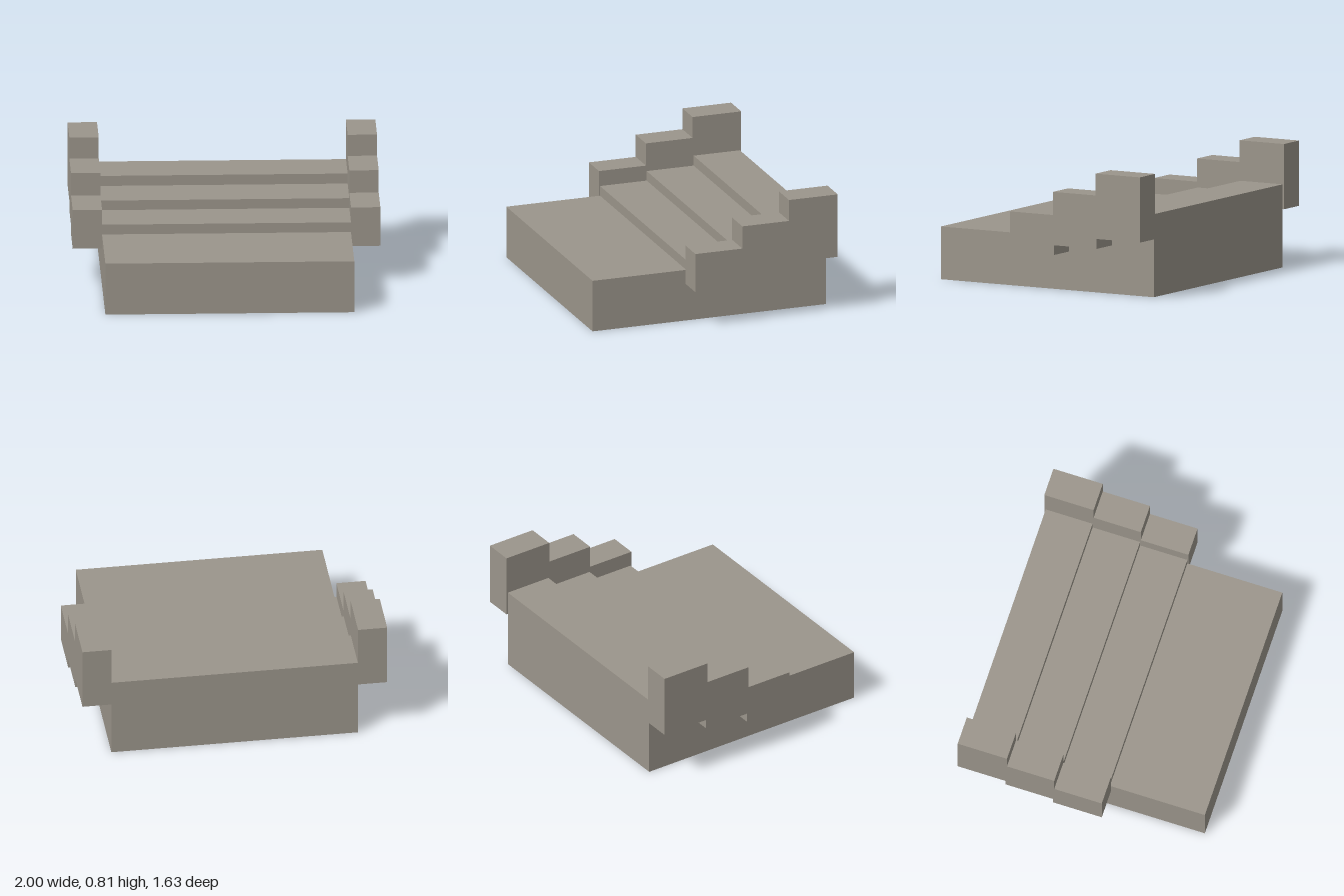
import * as THREE from 'three';

// Extrudes a [z, y] profile along x, centred on xCentre
function extrudeProfile(name, points, width, xCentre, material) {
  const shape = new THREE.Shape(points.map(([z, y]) => new THREE.Vector2(z, y)));
  const geometry = new THREE.ExtrudeGeometry(shape, { depth: width, bevelEnabled: false });
  geometry.translate(0, 0, -width / 2);
  geometry.rotateY(-Math.PI / 2);
  const mesh = new THREE.Mesh(geometry, material);
  mesh.name = name;
  mesh.position.x = xCentre;
  return mesh;
}

export function createModel() {
  const group = new THREE.Group();
  group.name = 'steppedPlatform';
  const stone = new THREE.MeshStandardMaterial({ color: 0x9b958b });
  stone.name = 'warm grey stone';

  // Platform with three shallow steps rising to the back
  group.add(extrudeProfile('steppedBase', [
    [-0.805, 0], [0.812, 0], [0.812, 0.346],
    [0.163, 0.346], [0.163, 0.412],
    [-0.16, 0.412], [-0.16, 0.477],
    [-0.485, 0.477], [-0.485, 0.545],
    [-0.805, 0.545],
  ], 1.618, 0, stone));

  // Side walls, stepped above and below
  const wall = [
    [0.17, 0.253], [0.17, 0.515],
    [-0.155, 0.515], [-0.155, 0.667],
    [-0.478, 0.667], [-0.478, 0.81],
    [-0.815, 0.81], [-0.815, 0.382],
    [-0.487, 0.382], [-0.487, 0.317],
    [-0.163, 0.317], [-0.163, 0.253],
  ];
  for (const [name, side] of [['leftWall', 1], ['rightWall', -1]]) {
    group.add(extrudeProfile(name, wall, 0.191, side * 0.9045, stone));
  }
  return group;
}
